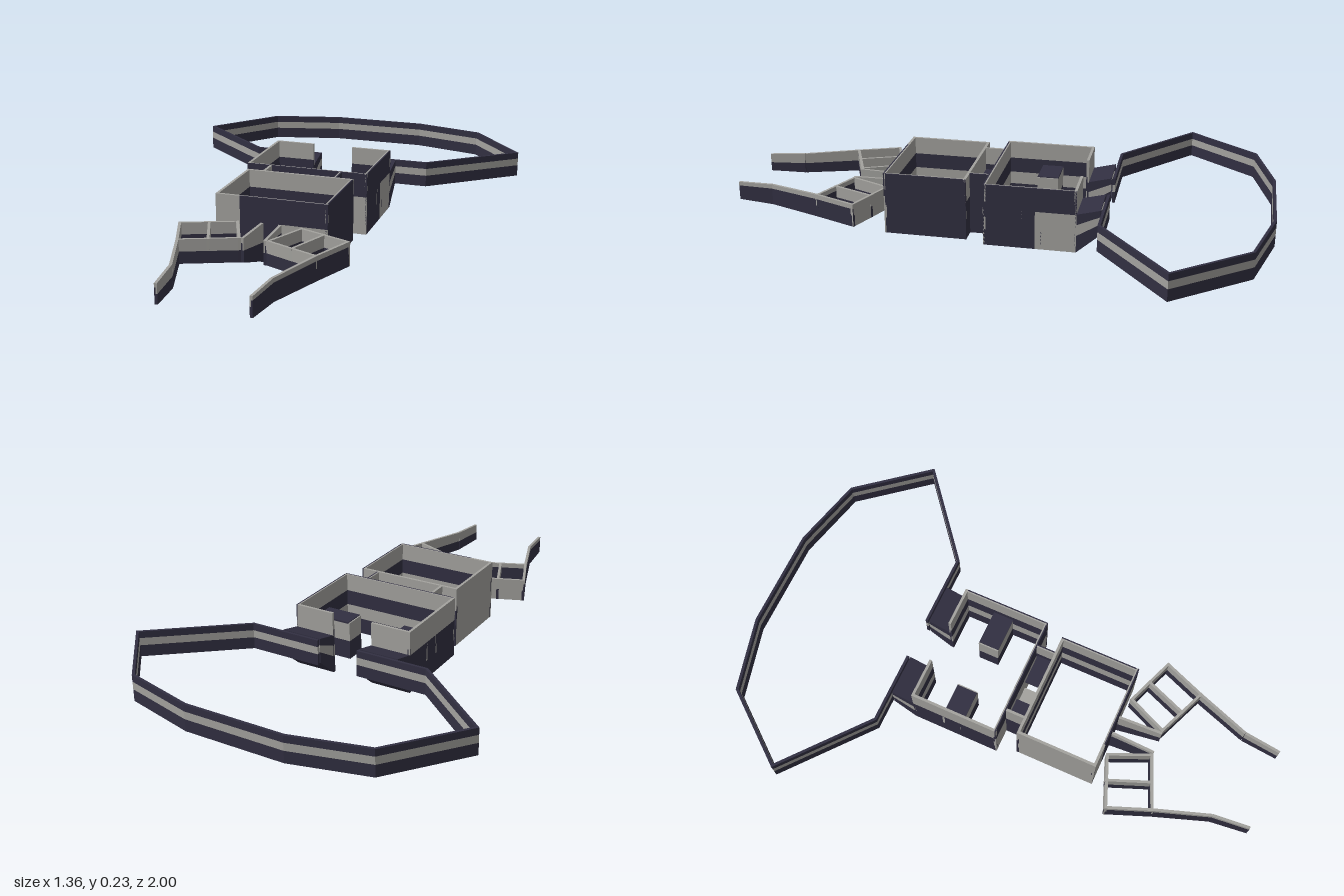
import * as THREE from 'three';

const mat = (name, color) => {
  const m = new THREE.MeshStandardMaterial({ color });
  m.name = name;
  return m;
};

export function createModel() {
  const dark = mat('dark slate', 0x312f41), grey = mat('warm grey', 0xa3a29e);
  const root = new THREE.Group();
  root.name = 'clawedFrame';
  const lerp = THREE.MathUtils.lerp;
  const T = 0.005; // thickness of one layer; each wall has an outer and an inner layer
  const CX = -0.005; // centre line of the body

  const part = (name) => {
    const g = new THREE.Group();
    g.name = name;
    root.add(g);
    return g;
  };

  // Vertical slab from a to b ([x, z]); ha and hb give [low, high] at each end
  function slab(g, name, a, b, ha, hb, band, offset) {
    const [f0, f1, material] = band;
    const geo = new THREE.BoxGeometry(1, 1, 1);
    const p = geo.attributes.position;
    const dx = b[0] - a[0], dz = b[1] - a[1], len = Math.hypot(dx, dz);
    for (let i = 0; i < p.count; i++) {
      const t = p.getX(i) + 0.5, n = offset + p.getZ(i) * T;
      const f = p.getY(i) > 0 ? f1 : f0;
      const y = lerp(lerp(ha[0], ha[1], f), lerp(hb[0], hb[1], f), t);
      p.setXYZ(i, a[0] + dx * t - (dz / len) * n, y, a[1] + dz * t + (dx / len) * n);
    }
    geo.computeVertexNormals();
    const m = new THREE.Mesh(geo, material);
    m.name = name;
    g.add(m);
  }

  // Two-layer wall; the outside is on the right hand of a walker going from a to b
  function wall(g, name, a, b, ha, hb, outer, inner = outer) {
    for (const band of outer) slab(g, name, a, b, ha, hb, band, -T / 2);
    for (const band of inner) slab(g, name, a, b, ha, hb, band, -T * 1.5);
  }

  // Plate spanning x0..x1 and z0..z1, sloping from y0 to y1 along z
  function plate(g, name, x0, x1, z0, z1, y0, y1, material) {
    const geo = new THREE.BoxGeometry(x1 - x0, 0.006, Math.abs(z1 - z0));
    geo.translate((x0 + x1) / 2, 0, (z0 + z1) / 2);
    const p = geo.attributes.position;
    for (let i = 0; i < p.count; i++) {
      p.setY(i, p.getY(i) + lerp(y0, y1, (p.getZ(i) - z0) / (z1 - z0)));
    }
    geo.computeVertexNormals();
    const m = new THREE.Mesh(geo, material);
    m.name = name;
    g.add(m);
  }

  // Colour bands as fractions of the wall height
  const S = 0.62;
  const split = (low, high) => [[0, S, low], [S, 1, high]];
  const striped = [[0, 0.45, dark], [0.45, 0.74, grey], [0.74, 1, dark]];
  const inside = [[0, 0.26, dark], [0.26, 0.47, grey], [0.47, 0.72, dark], [0.72, 1, grey]];
  const edged = [[0, 0.8, dark], [0.8, 1, grey]];
  const halves = [[0, 0.5, dark], [0.5, 1, grey]];
  const H = [0, 0.235], L = [0, 0.145];

  // Front box
  const front = part('frontBox');
  const fx0 = -0.21, fx1 = 0.2, fz0 = 0.1, fz1 = 0.41;
  [[fx0, -0.12, grey, grey], [-0.12, 0.03, dark, dark], [0.03, fx1, grey, dark]].forEach(([a, b, lo, hi]) =>
    wall(front, 'frontWall', [a, fz1], [b, fz1], H, H, split(lo, hi), inside));
  wall(front, 'leftWall', [fx1, fz1], [fx1, fz0], H, H, split(dark, dark), inside);
  wall(front, 'backWall', [fx1, fz0], [fx0, fz0], H, H, split(dark, grey), inside);
  wall(front, 'rightWall', [fx0, fz0], [fx0, fz1], H, H, split(grey, grey), inside);

  // Neck between the boxes
  const neck = part('neck');
  wall(neck, 'neckLeftWall', [0.135, 0.1], [0.135, 0.03], H, H, split(dark, dark), inside);
  wall(neck, 'neckRightWall', [-0.15, 0.03], [-0.15, 0.1], H, H, split(dark, grey), inside);
  plate(neck, 'neckPlate', 0.01, 0.13, 0.035, 0.1, 0.145, 0.145, dark);
  plate(neck, 'neckPlate', -0.14, -0.065, 0.035, 0.1, 0.145, 0.145, dark);
  plate(neck, 'neckCentrePlate', -0.065, 0.01, 0.035, 0.1, 0.08, 0.08, grey);

  // Rear box, open in the middle of its back
  const rear = part('rearBox');
  const rx0 = -0.24, rx1 = 0.23, rz0 = -0.31, rz1 = 0.03;
  wall(rear, 'frontWall', [rx0, rz1], [rx1, rz1], H, H, split(grey, dark), inside);
  wall(rear, 'leftWall', [rx1, rz1], [rx1, -0.16], H, H, split(dark, dark), inside);
  wall(rear, 'leftWall', [rx1, -0.16], [rx1, rz0], H, H, split(grey, dark), inside);
  wall(rear, 'rightWall', [rx0, rz0], [rx0, rz1], H, H, split(dark, grey), inside);
  wall(rear, 'backWall', [rx1, rz0], [0.075, rz0], H, H, split(dark, grey), inside);
  wall(rear, 'backWall', [-0.085, rz0], [rx0, rz0], H, H, split(dark, grey), inside);

  // Crossbars inside the rear box and tapered links to the hoop
  const bars = part('crossbars'), links = part('hoopLinks');
  for (const [x0, x1, w0, w1] of [[rx0, -0.1, rx0, -0.085], [0.08, rx1, 0.075, rx1]]) {
    const a = -0.11, b = -0.19;
    wall(bars, 'barFront', [x0, a], [x1, a], L, L, halves);
    wall(bars, 'barBack', [x1, b], [x0, b], L, L, halves);
    if (x0 < 0) wall(bars, 'barEnd', [x1, a], [x1, b], L, L, halves);
    else wall(bars, 'barEnd', [x0, b], [x0, a], L, L, halves);
    plate(bars, 'barTop', x0 + T, x1 - T, b, a, 0.145, 0.145, dark);

    plate(links, 'linkTop', w0, w1, rz0, -0.395, 0.145, 0.167, dark);
    plate(links, 'linkBottom', w0, w1, rz0, -0.395, 0.003, 0.078, dark);
    wall(links, 'linkSide', [w1, rz0], [w1, -0.395], L, [0.075, 0.17], striped);
    wall(links, 'linkSide', [w0, -0.395], [w0, rz0], [0.075, 0.17], L, striped);
  }

  // Large hoop at the back
  const hoop = part('hoop');
  const R = [0.072, 0.17];
  const loop = [[0.075, -0.4], [0.355, -0.4], [0.68, -0.665], [0.465, -0.93], [0.19, -1],
    [-0.19, -1], [-0.47, -0.93], [-0.68, -0.665], [-0.36, -0.4], [-0.085, -0.4]];
  for (let i = 0; i < loop.length - 1; i++) {
    wall(hoop, 'hoopSegment', loop[i], loop[i + 1], R, R, striped);
  }

  // Pair of claws: arm, two-cell knuckle and finger
  for (const s of [1, -1]) {
    const g = part(s > 0 ? 'leftClaw' : 'rightClaw');
    const K = [0.06, 0.147];
    const add = (name, a, b, ha, hb, outer, inner) => {
      const p = [s * a[0] + CX, a[1]], q = [s * b[0] + CX, b[1]];
      if (s > 0) wall(g, name, p, q, ha, hb, outer, inner);
      else wall(g, name, q, p, hb, ha, outer, inner);
    };
    const A = [0.115, 0.42], B = [0.31, 0.495], C = [0.245, 0.66], D = [0.045, 0.578];
    add('arm', D, [0.038, 0.4], K, L, edged, halves);
    add('knuckleInner', D, C, K, K, halves, edged);
    add('knuckleOuter', C, B, K, K, edged, halves);
    add('knuckleBack', B, A, K, K, [[0, 1, grey]], halves);
    add('knuckleSide', A, D, K, K, halves, halves);
    add('knuckleDivider', [0.15, 0.622], [0.215, 0.458], K, K, halves);
    add('finger', [0.175, 0.86], C, [0.062, 0.142], K, edged, halves);
    add('fingerTip', [0.16, 1], [0.175, 0.86], [0.066, 0.136], [0.062, 0.142], edged, halves);
  }
  return root;
}
